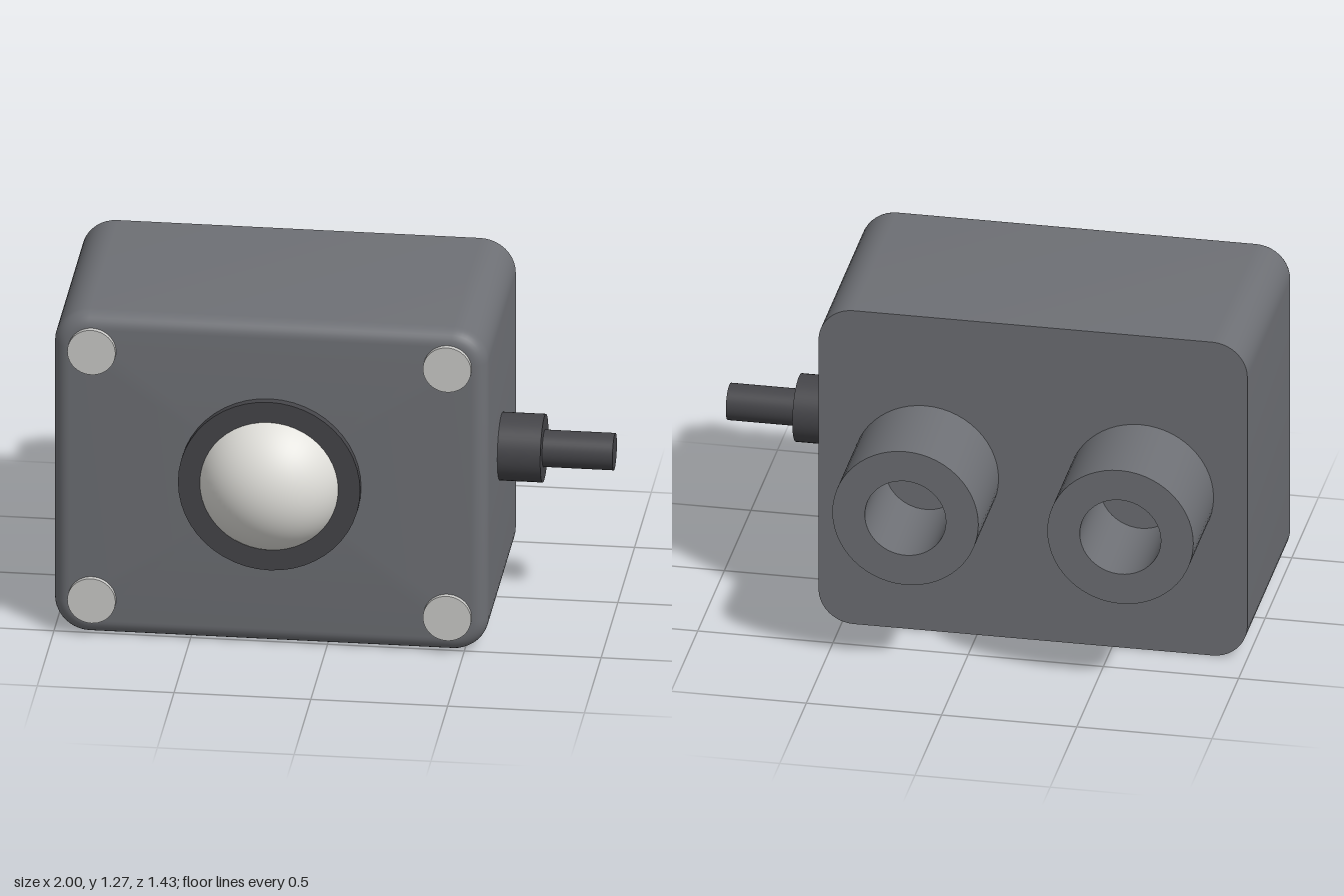
import * as THREE from 'three';
import { toCreasedNormals } from 'three/addons/utils/BufferGeometryUtils.js';

const material = (name, color) => {
  const m = new THREE.MeshStandardMaterial({ color });
  m.name = name;
  return m;
};

// Rounded rectangle outline, counter-clockwise seen from the front
function outline(cx, cy, halfW, halfH, radius, inset, z) {
  const points = [], steps = 10, r = radius - inset;
  [[1, 1], [-1, 1], [-1, -1], [1, -1]].forEach(([sx, sy], corner) => {
    for (let i = 0; i <= steps; i++) {
      const a = (corner + i / steps) * Math.PI / 2;
      points.push([
        cx + sx * (halfW - radius) + r * Math.cos(a),
        cy + sy * (halfH - radius) + r * Math.sin(a), z]);
    }
  });
  return points;
}

// Box with rounded corners, a filleted front edge and a sharp back edge
function housingGeometry() {
  const cx = -0.207, cy = 0.635, halfW = 0.793, halfH = 0.635;
  const radius = 0.13, fillet = 0.06, back = -0.335, front = 0.525;
  const ring = (inset, z) => outline(cx, cy, halfW, halfH, radius, inset, z);
  const rings = [ring(0, back)];
  for (let i = 0; i <= 8; i++) {
    const a = i / 8 * Math.PI / 2;
    rings.push(ring(fillet * (1 - Math.cos(a)), front - fillet + fillet * Math.sin(a)));
  }
  const pos = [], n = rings[0].length, last = rings[rings.length - 1];
  const tri = (...corners) => corners.forEach(p => pos.push(...p));
  for (let i = 0; i < n; i++) {
    const j = (i + 1) % n;
    for (let k = 0; k + 1 < rings.length; k++) {
      const a = rings[k], b = rings[k + 1];
      tri(a[i], a[j], b[j]);
      tri(a[i], b[j], b[i]);
    }
    tri([cx, cy, front], last[i], last[j]);
    tri([cx, cy, back], rings[0][j], rings[0][i]);
  }
  const g = new THREE.BufferGeometry();
  g.setAttribute('position', new THREE.Float32BufferAttribute(pos, 3));
  return toCreasedNormals(g, 0.6);
}

export function createModel() {
  const group = new THREE.Group();
  const grey = material('housing grey', 0x6e7075);
  const dark = material('dark rubber', 0x454549);
  const cream = material('lens white', 0xe0dfda);
  const silver = material('screw silver', 0xcacac8);
  const cy = 0.64;

  const add = (name, geometry, mat, x = 0, y = 0, z = 0) => {
    const mesh = new THREE.Mesh(geometry, mat);
    mesh.name = name;
    mesh.position.set(x, y, z);
    group.add(mesh);
    return mesh;
  };
  // Cylinder along z between two depths
  const discZ = (r, z0, z1) =>
    new THREE.CylinderGeometry(r, r, z1 - z0, 48).rotateX(Math.PI / 2).translate(0, 0, (z0 + z1) / 2);
  // Cylinder along x between two positions
  const rodX = (r, x0, x1) =>
    new THREE.CylinderGeometry(r, r, x1 - x0, 40).rotateZ(-Math.PI / 2).translate((x0 + x1) / 2, 0, 0);

  add('housing', housingGeometry(), grey);

  // Front bezel and domed lens
  add('bezel', discZ(0.333, 0.51, 0.557), dark, -0.207, cy);
  const R = 0.284;
  const dome = new THREE.SphereGeometry(R, 48, 20, 0, Math.PI * 2, 0, 1.15).rotateX(Math.PI / 2);
  add('lens', dome, cream, -0.207, cy, 0.712 - R);

  // Four corner screws
  for (const x of [-0.858, 0.442])
    for (const y of [0.145, 1.13])
      add('screw', discZ(0.088, 0.5, 0.545), silver, x, y);

  // Two hollow tubes on the back
  const profile = [[0.15, 0.335], [0.15, 0.715], [0.27, 0.715], [0.27, 0.335]]
    .map(p => new THREE.Vector2(...p)).reverse();
  for (const x of [-0.605, 0.19]) {
    const tube = toCreasedNormals(new THREE.LatheGeometry(profile, 56), 0.6).rotateX(-Math.PI / 2);
    const tubeMat = grey;
    add('rearTube', orientOutward(tube), tubeMat, x, cy);
  }

  // Cable gland and cable on the side
  add('cableGland', rodX(0.125, 0.57, 0.743), dark, 0, cy, 0.095);
  add('cable', rodX(0.068, 0.7, 1.0), dark, 0, cy, 0.095);

  return group;
}

// Flip the winding and normals if the end ring faces inward (it must face -z)
function orientOutward(g) {
  const p = g.attributes.position, nrm = g.attributes.normal;
  let facing = 0;
  for (let i = 0; i < p.count; i++) if (Math.abs(nrm.getZ(i)) > 0.9) facing += nrm.getZ(i);
  if (facing <= 0) return g;
  for (let i = 0; i < p.count; i += 3) {
    const a = new THREE.Vector3().fromBufferAttribute(p, i);
    const b = new THREE.Vector3().fromBufferAttribute(p, i + 1);
    p.setXYZ(i, b.x, b.y, b.z);
    p.setXYZ(i + 1, a.x, a.y, a.z);
  }
  for (let i = 0; i < nrm.array.length; i++) nrm.array[i] *= -1;
  return g;
}
